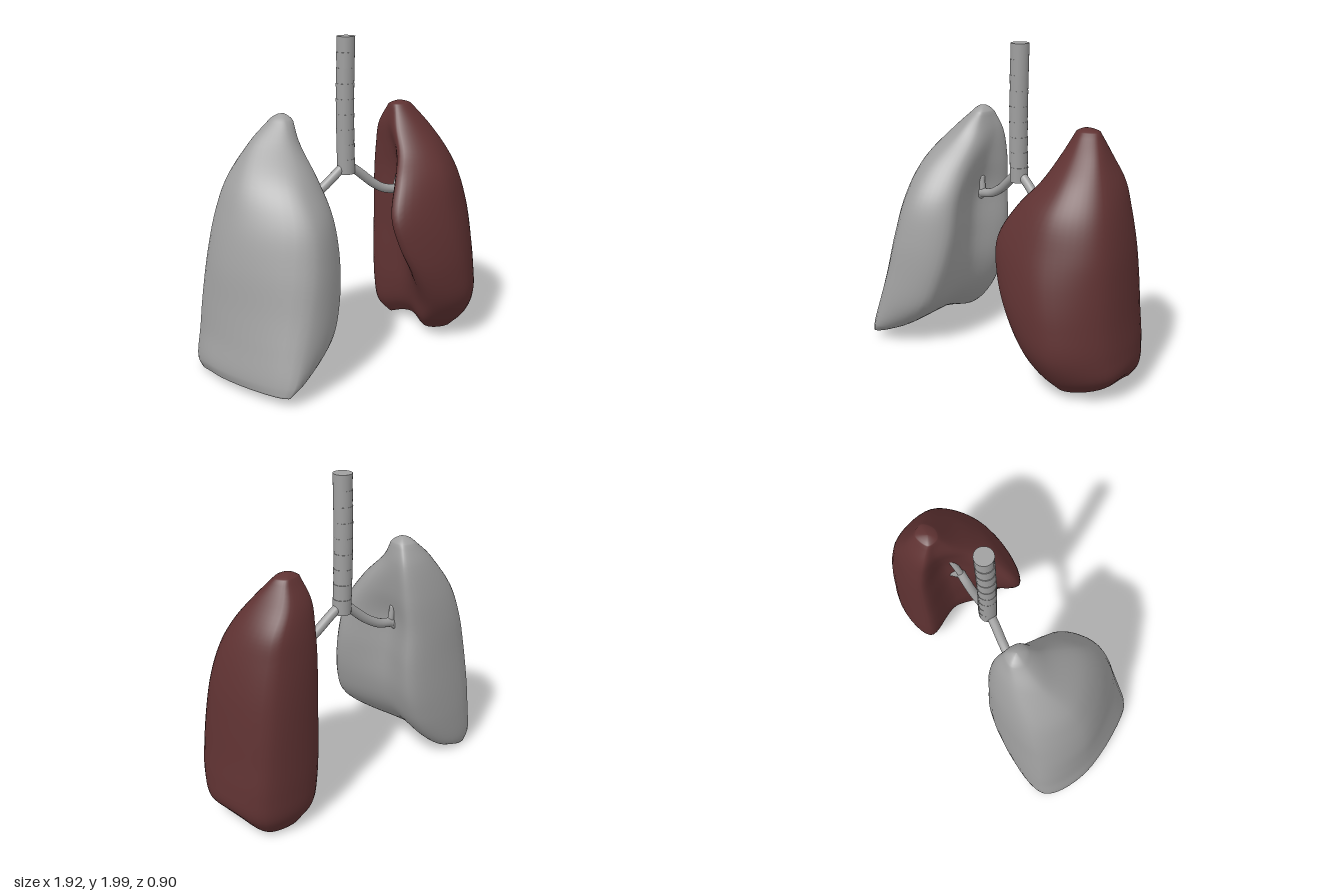
import * as THREE from 'three';

const tissue = new THREE.MeshStandardMaterial({ color: 0xa0a0a0 });
tissue.name = 'grey tissue';
const maroon = new THREE.MeshStandardMaterial({ color: 0x5f3232 });
maroon.name = 'dark maroon';

// Each row: y, then x,z of back-inner rim, hollow, front-inner edge, front, outer side, outer back
const rightRows = [
  [1.52, -.315, -.285, -.30, -.24, -.32, -.17, -.38, -.16, -.44, -.23, -.40, -.30],
  [1.40, -.285, -.335, -.28, -.25, -.31, -.12, -.41, -.06, -.58, -.20, -.50, -.34],
  [1.20, -.285, -.375, -.30, -.20, -.28, .04, -.47, .16, -.73, -.10, -.66, -.36],
  [1.00, -.30, -.39, -.345, -.15, -.25, .15, -.48, .30, -.805, -.05, -.74, -.375],
  [.75, -.30, -.395, -.345, -.12, -.24, .21, -.52, .37, -.865, -.04, -.80, -.38],
  [.50, -.34, -.395, -.36, -.10, -.28, .27, -.58, .405, -.895, -.04, -.84, -.39],
  [.30, -.43, -.39, -.43, -.08, -.36, .31, -.64, .43, -.92, -.04, -.865, -.395],
  [.12, -.62, -.39, -.60, -.10, -.56, .35, -.70, .445, -.955, -.08, -.895, -.385],
  [.06, -.78, -.38, -.76, -.10, -.67, .35, -.73, .43, -.94, -.09, -.88, -.37],
];
const leftRows = [
  [1.53, .46, -.27, .45, -.24, .465, -.19, .53, -.17, .60, -.22, .56, -.29],
  [1.40, .43, -.335, .43, -.24, .42, -.12, .56, -.06, .69, -.14, .61, -.345],
  [1.25, .43, -.365, .45, -.20, .37, -.01, .59, .07, .775, -.07, .695, -.375],
  [1.10, .43, -.38, .47, -.17, .27, .09, .59, .17, .835, -.02, .735, -.385],
  [.90, .43, -.385, .47, -.15, .185, .17, .59, .24, .88, .02, .775, -.395],
  [.70, .43, -.385, .48, -.14, .23, .215, .62, .285, .905, .035, .80, -.40],
  [.50, .43, -.385, .49, -.12, .33, .245, .67, .30, .925, .035, .82, -.40],
  [.30, .44, -.385, .50, -.12, .435, .225, .71, .285, .945, .02, .84, -.40],
  [.15, .47, -.38, .53, -.12, .49, .14, .71, .21, .945, -.01, .835, -.395],
  [.05, .55, -.35, .58, -.14, .56, .06, .69, .12, .885, -.07, .79, -.36],
];

const ramp = THREE.MathUtils.smoothstep;

// Smooth closed body through the cross-sections; warp(x, z) shapes the underside
function lung(name, rows, material, flip, topY, bottomY, warp) {
  const AROUND = 48, DOWN = 48;
  const rails = [0, 1, 2, 3, 4, 5].map(k => new THREE.CatmullRomCurve3(
    rows.map(r => new THREE.Vector3(r[1 + 2 * k], r[0], r[2 + 2 * k]))));
  const rings = [];
  for (let j = 0; j <= DOWN; j++) {
    const loop = new THREE.CatmullRomCurve3(rails.map(c => c.getPoint(j / DOWN)), true);
    rings.push(Array.from({ length: AROUND }, (_, i) => loop.getPoint(i / AROUND)));
  }
  const centre = ring => ring.reduce((s, p) => s.add(p), new THREE.Vector3()).divideScalar(AROUND);
  const inner = (ring, scale, y) => {
    const c = centre(ring);
    return ring.map(p => {
      const q = p.clone().sub(c).multiplyScalar(scale).add(c);
      q.y = THREE.MathUtils.lerp(p.y, y, 1 - scale * scale);
      return q;
    });
  };
  // Rounded caps, shrinking towards a point
  const first = rings[0], last = rings[DOWN];
  rings.unshift(...[0.01, .35, .7, .9].map(s => inner(first, s, topY)));
  rings.push(...[.9, .7, .35, 0.01].map(s => inner(last, s, bottomY)));

  const pos = [], index = [];
  for (const ring of rings) for (const p of ring) {
    const w = Math.max(0, 1 - p.y / .4);
    pos.push(p.x, p.y + warp(p.x, p.z) * w, p.z);
  }
  for (let r = 0; r < rings.length - 1; r++) for (let i = 0; i < AROUND; i++) {
    const n = (i + 1) % AROUND;
    const a = r * AROUND + i, b = r * AROUND + n, c = a + AROUND, d = b + AROUND;
    if (flip) index.push(a, b, c, b, d, c);
    else index.push(a, c, b, b, c, d);
  }
  const g = new THREE.BufferGeometry();
  g.setAttribute('position', new THREE.Float32BufferAttribute(pos, 3));
  g.setIndex(index);
  g.computeVertexNormals();
  const mesh = new THREE.Mesh(g, material);
  mesh.name = name;
  return mesh;
}

function tube(name, points, radius) {
  const path = new THREE.CatmullRomCurve3(points.map(p => new THREE.Vector3(...p)));
  const mesh = new THREE.Mesh(new THREE.TubeGeometry(path, 20, radius, 14), tissue);
  mesh.name = name;
  return mesh;
}

function ball(name, p, radius) {
  const mesh = new THREE.Mesh(new THREE.SphereGeometry(radius, 14, 10), tissue);
  mesh.name = name;
  mesh.position.set(...p);
  return mesh;
}

export function createModel() {
  const model = new THREE.Group();
  model.name = 'lungs';

  // The right underside drops to the back; the left one is hollowed and rises outwards
  model.add(lung('rightLung', rightRows, tissue, true, 1.56, .035,
    (x, z) => .01 - .07 * ramp(-z, .1, .4)));
  model.add(lung('leftLung', leftRows, maroon, false, 1.552, .065,
    (x, z) => .045 * Math.exp(-(((z + .14) / .14) ** 2)) - .03 * ramp(-z, .22, .38) + .06 * (x - .62)));

  // Windpipe of stacked, slightly uneven rings
  const trachea = new THREE.Group();
  trachea.name = 'trachea';
  const COUNT = 9, H = .85 / COUNT;
  for (let i = 0; i < COUNT; i++) {
    const ring = new THREE.Mesh(new THREE.CylinderGeometry(.057, .055, H, 24), tissue);
    ring.name = 'tracheaRing' + (i + 1);
    ring.position.set(.046 - .007 * Math.sin(i / (COUNT - 1) * Math.PI), 1.15 + H * (i + .5), -.148);
    trachea.add(ring);
  }
  model.add(trachea);

  // Main airways, each forking inside the hollow of its lung
  const airways = [
    ['right', [[.03, 1.2, -.148], [-.04, 1.14, -.155], [-.13, 1.065, -.168], [-.23, 1.01, -.18], [-.32, .99, -.185]],
      [-.335, 1.09, -.19], [-.37, .95, -.2]],
    ['left', [[.06, 1.2, -.148], [.13, 1.15, -.14], [.24, 1.06, -.125], [.31, 1.02, -.115], [.40, 1.0, -.105]],
      [.47, 1.16, -.135], [.48, .92, -.13]],
  ];
  for (const [side, path, up, down] of airways) {
    const fork = path[path.length - 1];
    const mid = up.map((v, i) => v * .6 + fork[i] * .4);
    model.add(
      tube(side + 'Bronchus', path, .029),
      ball(side + 'BronchusFork', fork, .03),
      tube(side + 'UpperBranch', [fork, mid, up], .02),
      ball(side + 'UpperBranchTip', up, .0205),
      tube(side + 'LowerBranch', [fork, down], .024),
      ball(side + 'LowerBranchTip', down, .0245));
  }
  return model;
}
